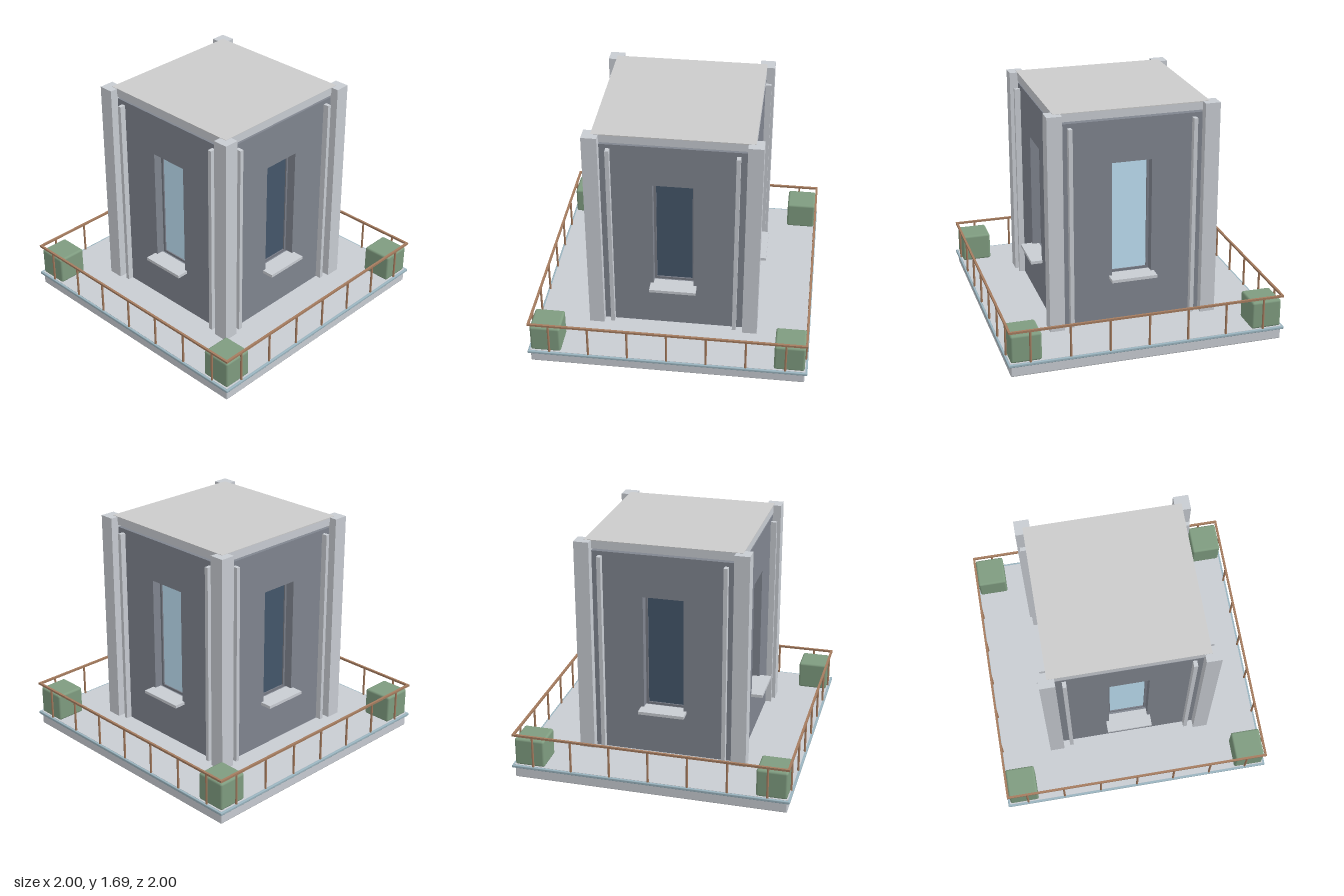
import * as THREE from 'three';
import { RoundedBoxGeometry } from 'three/addons/geometries/RoundedBoxGeometry.js';

const mat = (color) => new THREE.MeshStandardMaterial({ color });
const stone = mat(0xc8ccd2), wallGrey = mat(0x80858f), roofGrey = mat(0xcccccc);
const trim = mat(0x9ab4bf), wood = mat(0xa57c5f), green = mat(0x7f9c80);
const darkGlass = mat(0x44566a), lightGlass = mat(0xbfe2f5), frameGrey = mat(0x777b85);

function add(parent, name, geometry, material, x = 0, y = 0, z = 0) {
  const mesh = new THREE.Mesh(geometry, material);
  mesh.name = name;
  mesh.position.set(x, y, z);
  parent.add(mesh);
  return mesh;
}

// Box given by its lower and upper corners
function box(parent, name, material, [x0, y0, z0], [x1, y1, z1], radius = 0) {
  const size = [x1 - x0, y1 - y0, z1 - z0];
  const geometry = radius
    ? new RoundedBoxGeometry(...size, 2, radius)
    : new THREE.BoxGeometry(...size);
  return add(parent, name, geometry, material, (x0 + x1) / 2, (y0 + y1) / 2, (z0 + z1) / 2);
}

const FACE = 0.555; // distance of the wall face from the centre
const WIN = { w: 0.145, y0: 0.45, y1: 1.3, depth: 0.075, bar: 0.017 };

function rect(path, x0, y0, x1, y1) {
  path.moveTo(x0, y0);
  path.lineTo(x1, y0);
  path.lineTo(x1, y1);
  path.lineTo(x0, y1);
  path.closePath();
  return path;
}

// One facade, facing +z: wall with window opening, frame, glass, sill and strips
function facade(glass) {
  const side = new THREE.Group();
  side.name = 'facade';

  const shape = rect(new THREE.Shape(), -0.52, 0.1, 0.52, 1.61);
  shape.holes.push(rect(new THREE.Path(), -WIN.w, WIN.y0, WIN.w, WIN.y1));
  const wall = new THREE.ExtrudeGeometry(shape, { depth: 0.1, bevelEnabled: false });
  add(side, 'wall', wall, wallGrey, 0, 0, FACE - 0.1);

  const back = FACE - WIN.depth;
  const frame = rect(new THREE.Shape(), -WIN.w, WIN.y0, WIN.w, WIN.y1);
  const b = WIN.bar;
  frame.holes.push(rect(new THREE.Path(), -WIN.w + b, WIN.y0 + b, WIN.w - b, WIN.y1 - b));
  const frameGeometry = new THREE.ExtrudeGeometry(frame, { depth: 0.02, bevelEnabled: false });
  add(side, 'windowFrame', frameGeometry, frameGrey, 0, 0, back - 0.01);
  box(side, 'windowGlass', glass, [-WIN.w, WIN.y0, back - 0.015], [WIN.w, WIN.y1, back]);
  box(side, 'windowSill', stone, [-0.167, 0.433, FACE - 0.05], [0.167, 0.455, 0.64]);

  for (const s of [-1, 1]) {
    const x = s * 0.446;
    box(side, 'wallStrip', stone, [x - 0.014, 0.105, FACE - 0.01], [x + 0.014, 1.58, 0.598]);
  }
  return side;
}

// One side of the railing, along +z: handrail and evenly spaced posts
function railing() {
  const side = new THREE.Group();
  side.name = 'railing';
  box(side, 'handrail', wood, [-0.992, 0.328, 0.976], [0.992, 0.343, 0.992]);
  const post = new THREE.CylinderGeometry(0.008, 0.008, 0.235, 10);
  for (let i = -3; i <= 3; i++) add(side, 'railingPost', post, wood, i * 0.281, 0.2155, 0.984);
  return side;
}

export function createModel() {
  const model = new THREE.Group();
  model.name = 'pavilion';

  // Plinth and deck
  box(model, 'plinth', stone, [-0.982, 0, -0.982], [0.982, 0.085, 0.982], 0.01);
  box(model, 'deckEdge', trim, [-1, 0.08, -1], [1, 0.1, 1], 0.005);
  box(model, 'deck', stone, [-0.985, 0.085, -0.985], [0.985, 0.102, 0.985]);

  // Facades and railings around the four sides
  for (let i = 0; i < 4; i++) {
    const wallSide = facade(i % 2 ? lightGlass : darkGlass);
    const railSide = railing();
    wallSide.rotation.y = railSide.rotation.y = (i * Math.PI) / 2;
    model.add(wallSide, railSide);
  }

  // Corner columns and planting blocks
  const column = new THREE.BoxGeometry(0.108, 1.585, 0.108);
  const hedge = new RoundedBoxGeometry(0.218, 0.205, 0.218, 3, 0.016);
  for (const sx of [-1, 1]) {
    for (const sz of [-1, 1]) {
      add(model, 'cornerColumn', column, stone, sx * 0.561, 0.8925, sz * 0.561);
      add(model, 'hedgeBlock', hedge, green, sx * 0.87, 0.2025, sz * 0.87);
    }
  }

  // Roof slab, raised a little above the walls
  box(model, 'roofSlab', stone, [-0.558, 1.626, -0.558], [0.558, 1.684, 0.558]);
  box(model, 'roofTop', roofGrey, [-0.558, 1.68, -0.558], [0.558, 1.687, 0.558]);

  return model;
}
